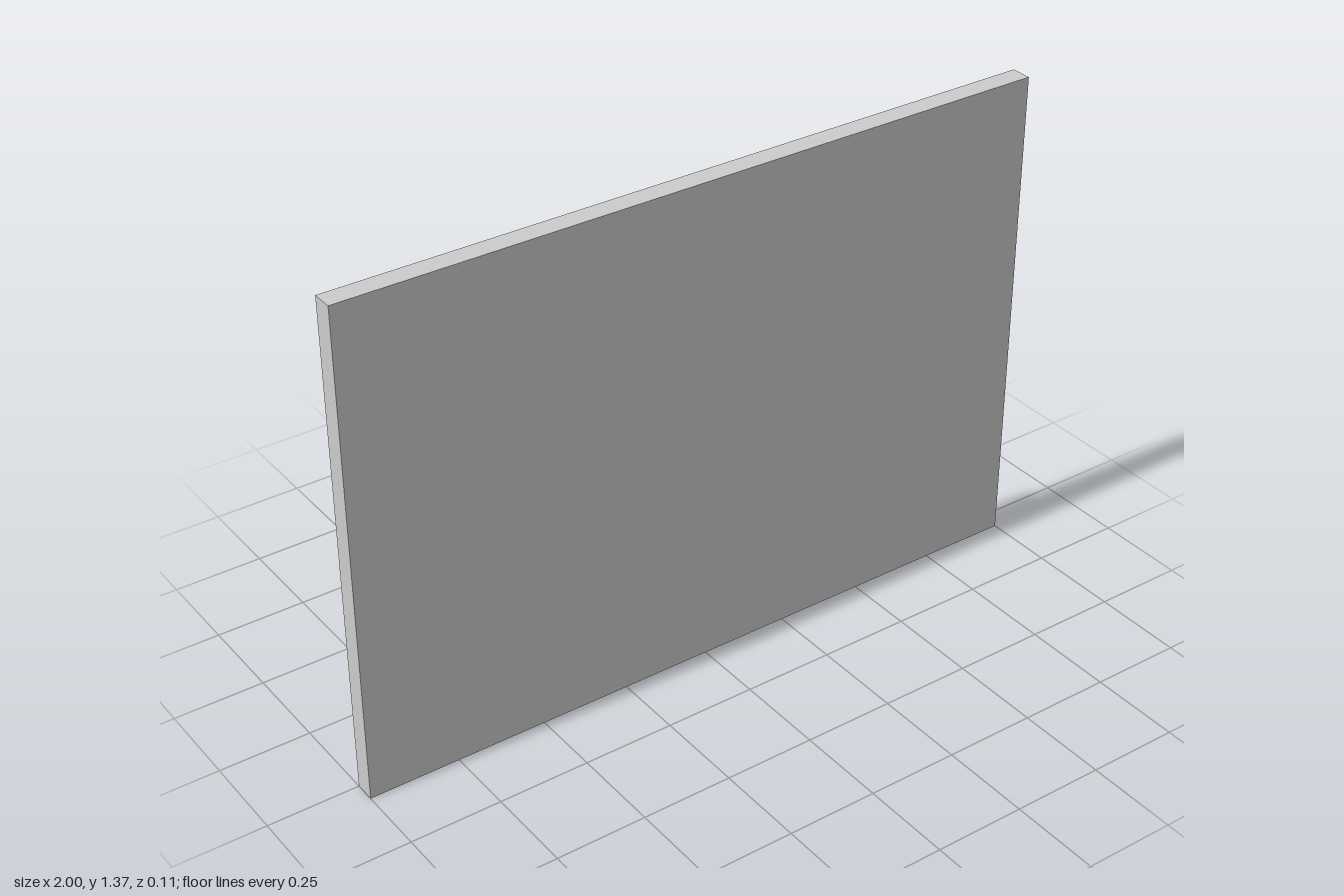
import * as THREE from 'three';

// Outline with straight sides and a round top; rise < halfWidth gives a segmental arch.
function archPath(Type, halfWidth, bottom, spring, rise) {
  const r = (halfWidth * halfWidth + rise * rise) / (2 * rise);
  const cy = spring + rise - r;
  const a = Math.atan2(spring - cy, halfWidth);
  const p = new Type();
  p.moveTo(-halfWidth, bottom);
  p.lineTo(halfWidth, bottom);
  p.lineTo(halfWidth, spring);
  p.absarc(0, cy, r, a, Math.PI - a, false);
  p.lineTo(-halfWidth, bottom);
  return p;
}

export function createModel() {
  const group = new THREE.Group();
  const material = new THREE.MeshStandardMaterial({ color: 0xcccccc });
  const faceted = new THREE.MeshStandardMaterial({ color: 0xcccccc, flatShading: true });

  function add(name, geometry, mat = material) {
    const mesh = new THREE.Mesh(geometry, mat);
    mesh.name = name;
    group.add(mesh);
    return mesh;
  }
  function box(name, x0, x1, y0, y1, z0, z1) {
    add(name, new THREE.BoxGeometry(x1 - x0, y1 - y0, z1 - z0))
      .position.set((x0 + x1) / 2, (y0 + y1) / 2, (z0 + z1) / 2);
  }
  // Extrude a shape between two depths
  function slab(name, shape, z0, z1, curveSegments, mat) {
    const g = new THREE.ExtrudeGeometry(shape, { depth: z1 - z0, bevelEnabled: false, curveSegments });
    add(name, g.translate(0, 0, z0), mat);
  }

  const floor = -0.022; // recessed panel surface

  // Wall
  box('wall', -1, 1, 0, 1.37, 0, 0.057);

  // Arched surround with its recessed panel
  const surround = archPath(THREE.Shape, 0.4, 0.015, 0.93, 0.237);
  surround.holes.push(archPath(THREE.Path, 0.36, 0.025, 0.92, 0.207));
  slab('surround', surround, -0.04, 0, 16);
  slab('recessedPanel', archPath(THREE.Shape, 0.37, 0.02, 0.92, 0.215), floor, 0, 16);

  // Doorway arch
  const doorway = archPath(THREE.Shape, 0.243, 0.025, 0.46, 0.243);
  doorway.holes.push(archPath(THREE.Path, 0.166, 0.0251, 0.46, 0.166));
  slab('doorwayArch', doorway, -0.036, floor, 16);

  // Feet of the doorway arch
  for (const s of [-1, 1]) {
    box('archFoot', s * 0.205 - 0.055, s * 0.205 + 0.055, 0.025, 0.06, -0.04, floor);
  }

  // Round window: twelve-sided ring around a sunken pane
  const ring = new THREE.Shape();
  ring.absarc(0, 0.977, 0.122, 0, Math.PI * 2, false);
  const opening = new THREE.Path();
  opening.absarc(0, 0.977, 0.1, 0, Math.PI * 2, false);
  ring.holes.push(opening);
  slab('windowRing', ring, -0.055, floor, 12, faceted);
  const pane = new THREE.Shape();
  pane.absarc(0, 0.977, 0.105, 0, Math.PI * 2, false);
  slab('windowPane', pane, -0.038, floor, 12, faceted);

  return group;
}
